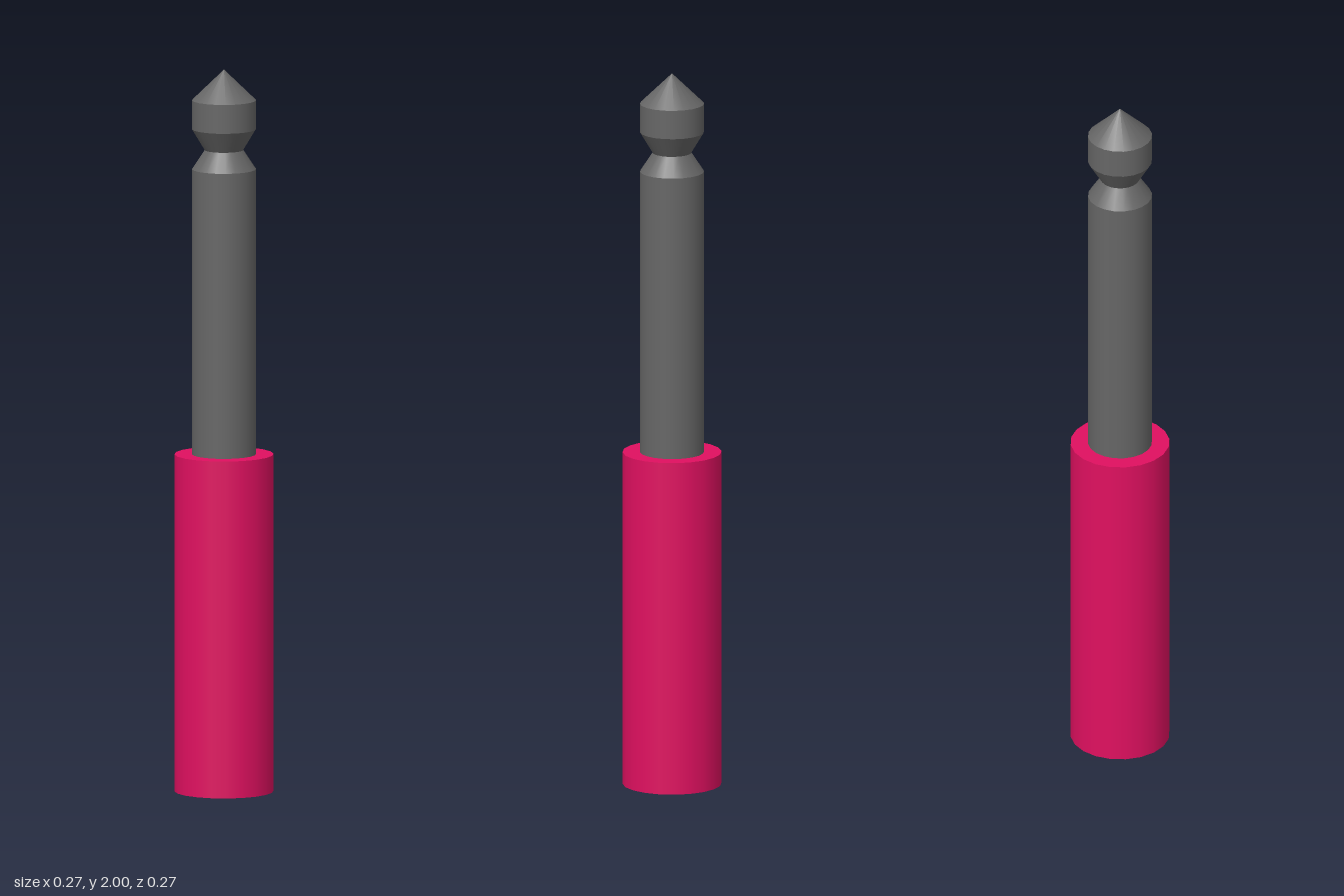
import * as THREE from 'three';

const SIDES = 20;

export function createModel() {
  const model = new THREE.Group();
  const sleeveMaterial = new THREE.MeshStandardMaterial({ color: 0xe01060 });
  const metalMaterial = new THREE.MeshStandardMaterial({ color: 0x666666 });

  // One straight or tapered band between two heights
  function addBand(name, bottomY, topY, bottomRadius, topRadius, material, open = true) {
    const geometry = new THREE.CylinderGeometry(topRadius, bottomRadius, topY - bottomY, SIDES, 1, open);
    const mesh = new THREE.Mesh(geometry, material);
    mesh.name = name;
    mesh.position.y = (bottomY + topY) / 2;
    model.add(mesh);
  }

  // Coloured grip sleeve, closed at both ends
  addBand('sleeve', 0, 0.934, 0.136, 0.136, sleeveMaterial, false);

  // Metal pin: each band meets the next at a crisp edge
  addBand('shaft', 0.934, 1.724, 0.088, 0.088, metalMaterial);
  addBand('lowerNeck', 1.724, 1.777, 0.088, 0.053, metalMaterial);
  addBand('upperNeck', 1.777, 1.835, 0.053, 0.088, metalMaterial);
  addBand('head', 1.835, 1.915, 0.088, 0.088, metalMaterial);
  addBand('tip', 1.915, 2, 0.088, 0, metalMaterial);

  return model;
}
